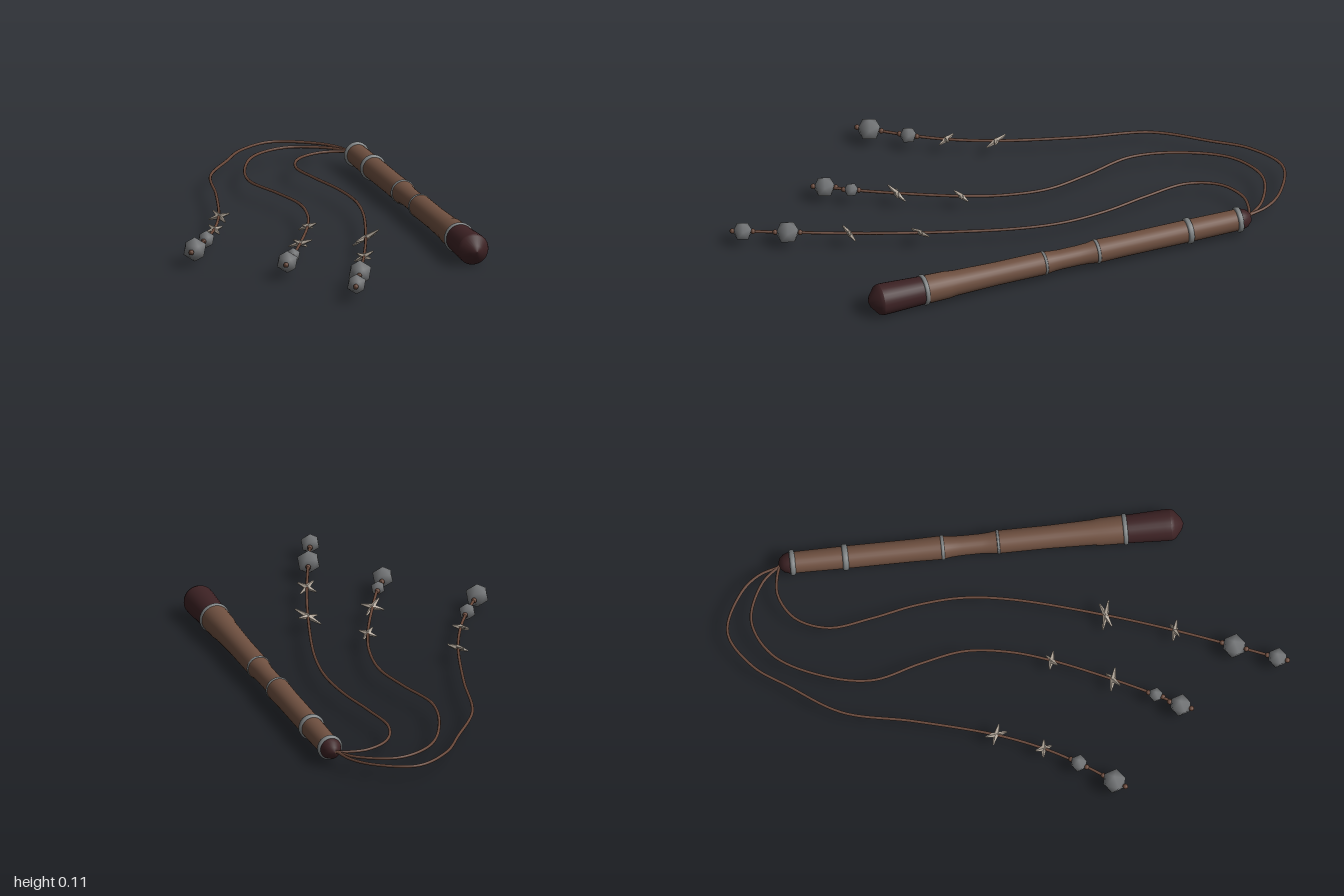
import * as THREE from 'three';
import { mergeVertices } from 'three/addons/utils/BufferGeometryUtils.js';

const Y = 0.06; // height of the centre line
const HX = 0.466; // handle position in x

const mat = (name, color, flat = false) =>
  Object.assign(new THREE.MeshStandardMaterial({ color, flatShading: flat }), { name });

export function createModel() {
  const root = new THREE.Group();
  root.name = 'threeLashWhip';
  const wood = mat('brown wood', 0x6f5040);
  const dark = mat('dark leather', 0x3d2224);
  const steel = mat('grey steel', 0x7c8081);
  const cord = mat('brown cord', 0x664638);
  const iron = mat('grey iron', 0x747678);
  const bone = mat('pale barb', 0xaea396, true);

  const add = (parent, name, geo, material) => {
    const m = new THREE.Mesh(geo, material);
    m.name = name;
    parent.add(m);
    return m;
  };

  // Handle: turned profiles [z, radius] running from back to front
  const handle = new THREE.Group();
  handle.name = 'handle';
  handle.position.set(HX, Y, 0.004);
  root.add(handle);
  const turned = (name, profile, material) => {
    const geo = new THREE.LatheGeometry(profile.map(([z, r]) => new THREE.Vector2(r, z)), 28);
    add(handle, name, geo.rotateX(Math.PI / 2), material);
  };
  turned('headCap', [[-0.79, 0], [-0.785, 0.018], [-0.77, 0.032], [-0.75, 0.039], [-0.735, 0.04]], dark);
  turned('upperShaft', [[-0.74, 0.039], [-0.55, 0.041], [-0.3, 0.041], [-0.2, 0.043]], wood);
  turned('grip', [[-0.2, 0.043], [-0.17, 0.038], [-0.13, 0.036], [-0.06, 0.036], [-0.03, 0.038], [0, 0.042]], wood);
  turned('lowerShaft', [[0, 0.042], [0.18, 0.042], [0.34, 0.046], [0.37, 0.05], [0.46, 0.052]], wood);
  turned('pommel', [[0.46, 0.051], [0.6, 0.057], [0.622, 0.057]], dark);
  turned('pommelTip', [[0.622, 0.057], [0.635, 0.052], [0.66, 0.022], [0.668, 0]], dark);

  // Rounded metal bands: z, outer radius, half width
  for (const [z, r, w] of [[-0.74, 0.0465, 0.01], [-0.55, 0.048, 0.011], [-0.2, 0.0455, 0.007],
    [0, 0.0445, 0.006], [0.457, 0.0565, 0.009]]) {
    turned('band', [[z - w, r - 0.008], [z - w * 0.8, r - 0.002], [z - w * 0.4, r],
      [z + w * 0.4, r], [z + w * 0.8, r - 0.002], [z + w, r - 0.008]], steel);
  }

  // Spike pointing both ways along a direction
  const spike = (parent, dir) => {
    const v = new THREE.Vector3(...dir);
    const h = v.length();
    for (const s of [1, -1]) {
      const geo = new THREE.CylinderGeometry(0.003, 0.011, h, 5).translate(0, h / 2, 0);
      const m = add(parent, 'spike', geo, bone);
      m.quaternion.setFromUnitVectors(new THREE.Vector3(0, 1, 0), v.clone().normalize().multiplyScalar(s));
    }
  };

  // Faceted ball with a vertex straight up and soft shading
  const weightGeometry = (r) => {
    const ball = new THREE.IcosahedronGeometry(r, 0);
    ball.deleteAttribute('normal');
    ball.deleteAttribute('uv');
    const geo = mergeVertices(ball);
    geo.computeVertexNormals();
    return geo.rotateZ(Math.atan2(2, 1 + Math.sqrt(5))).rotateY(Math.PI / 2);
  };

  // Lashes: path [x, z], barbs [x, z, two spike directions], beads [x, z, radius]
  const lashes = [
    {
      path: [[0.455, -0.78], [0.43, -0.86], [0.37, -0.93], [0.225, -0.994], [0.09, -0.92], [0, -0.8],
        [-0.12, -0.62], [-0.18, -0.37], [-0.262, -0.085], [-0.333, 0.083], [-0.402, 0.203], [-0.483, 0.322], [-0.512, 0.365]],
      barbs: [[-0.262, -0.08, [0.034, 0.012, 0.014], [0.01, -0.012, 0.04]],
        [-0.333, 0.083, [0.03, 0.01, 0.004], [0.01, -0.01, 0.03]]],
      beads: [[-0.402, 0.203, 0.032], [-0.483, 0.322, 0.045]],
    },
    {
      path: [[0.46, -0.78], [0.4, -0.85], [0.26, -0.905], [0.125, -0.845], [0.03, -0.685], [-0.01, -0.5],
        [0.035, -0.32], [0.065, -0.16], [0.045, 0], [-0.003, 0.147], [-0.098, 0.358], [-0.172, 0.504], [-0.221, 0.588], [-0.236, 0.622]],
      barbs: [[-0.003, 0.147, [0.03, 0.012, 0.01], [0.024, -0.012, -0.018]],
        [-0.098, 0.358, [0.04, 0.012, 0.012], [0.032, -0.02, -0.022]]],
      beads: [[-0.172, 0.504, 0.027], [-0.221, 0.588, 0.041]],
    },
    {
      path: [[0.465, -0.78], [0.41, -0.797], [0.345, -0.8], [0.255, -0.75], [0.205, -0.635], [0.225, -0.475],
        [0.257, -0.315], [0.268, -0.15], [0.244, 0.025], [0.148, 0.358], [0.064, 0.598], [-0.017, 0.803], [-0.078, 0.952], [-0.094, 0.993]],
      barbs: [[0.148, 0.358, [0.044, 0.03, 0.015], [0.042, 0.008, -0.018]],
        [0.064, 0.598, [0.032, 0.019, 0.01], [0.03, -0.016, -0.013]]],
      beads: [[-0.017, 0.803, 0.045], [-0.078, 0.952, 0.037]],
    },
  ];

  for (const { path, barbs, beads } of lashes) {
    const lash = new THREE.Group();
    lash.name = 'lash';
    lash.position.y = Y;
    root.add(lash);
    const curve = new THREE.CatmullRomCurve3(path.map(([x, z]) => new THREE.Vector3(x, 0, z)));
    add(lash, 'cord', new THREE.TubeGeometry(curve, 90, 0.0055, 8), cord);

    for (const [x, z, a, b] of barbs) {
      const star = new THREE.Group();
      star.name = 'barb';
      star.position.set(x, 0, z);
      lash.add(star);
      spike(star, a);
      spike(star, b);
    }

    // Weights with a knot on each side
    const [p, q] = path.slice(-2);
    const along = new THREE.Vector3(q[0] - p[0], 0, q[1] - p[1]).normalize();
    for (const [x, z, r] of beads) {
      add(lash, 'weight', weightGeometry(r), iron).position.set(x, 0, z);
      for (const s of [1, -1]) {
        const knot = add(lash, 'knot', new THREE.SphereGeometry(0.01, 8, 6), cord);
        knot.position.set(x, 0, z).addScaledVector(along, s * r);
      }
    }
  }
  return root;
}
